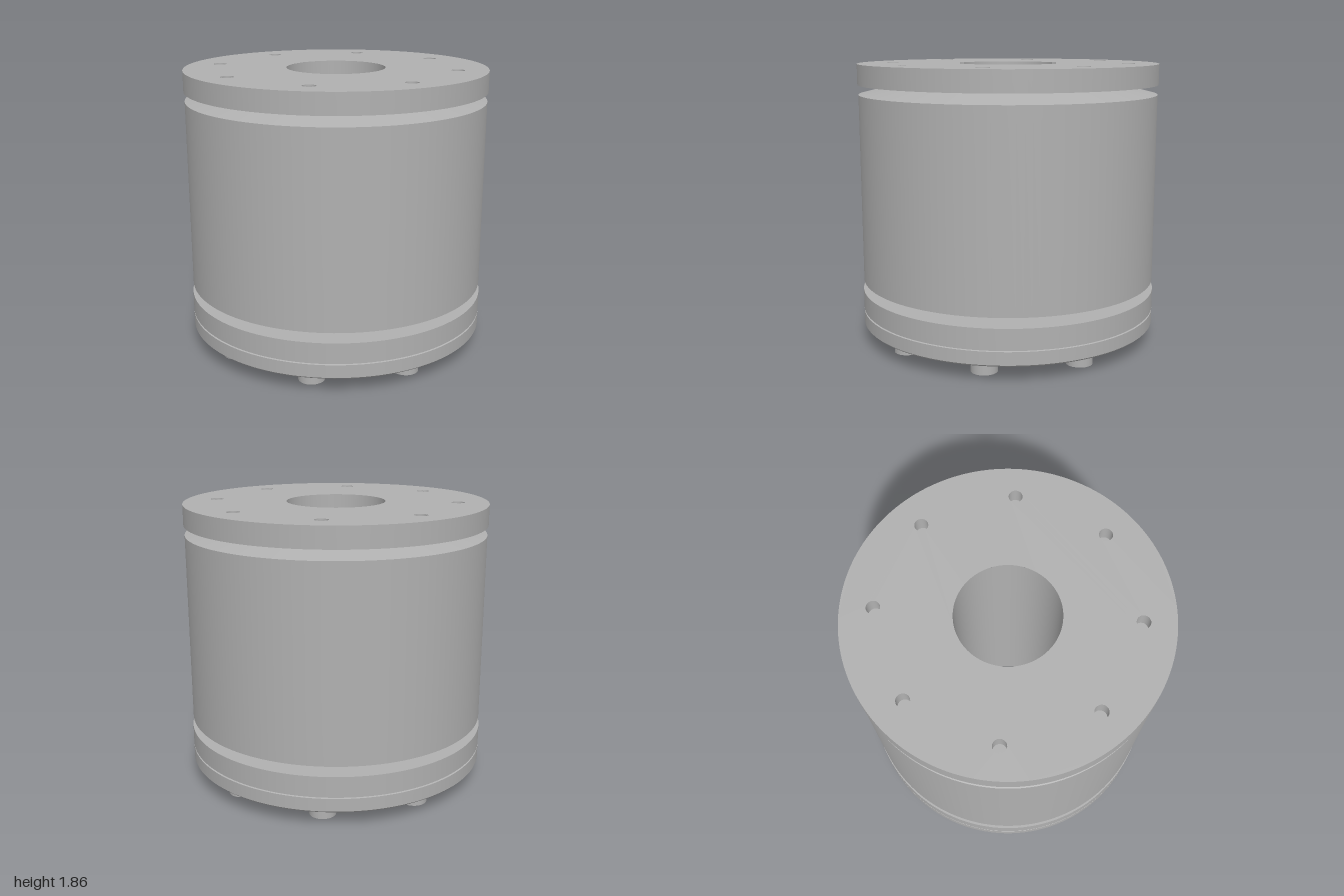
import * as THREE from 'three';
import { mergeGeometries } from 'three/addons/utils/BufferGeometryUtils.js';

const SEG = 128;
const BOLTS = 8;
const BOLT_CIRCLE = 0.8;
const BOLT_TURN = -0.015;
const BORE = 0.326;
const TOP = 1.86;

// Revolved profile with a sharp edge at every point; run it counter-clockwise
// (outside upwards, top inwards, bore downwards).
function turned(points, segments = SEG) {
  const bands = [];
  for (let i = 0; i < points.length - 1; i++) {
    const pair = [points[i], points[i + 1]].map(([r, y]) => new THREE.Vector2(r, y));
    bands.push(new THREE.LatheGeometry(pair, segments));
  }
  return mergeGeometries(bands);
}

export function createModel() {
  const model = new THREE.Group();
  const steel = new THREE.MeshStandardMaterial({ color: 0xb0b0b0 });
  steel.name = 'grey steel';

  const add = (name, geometry, parent = model) => {
    const mesh = new THREE.Mesh(geometry, steel);
    mesh.name = name;
    parent.add(mesh);
    return mesh;
  };

  // Evenly spaced positions on the bolt circle
  const spots = [];
  for (let i = 0; i < BOLTS; i++) {
    const a = BOLT_TURN + (i * Math.PI * 2) / BOLTS;
    spots.push([BOLT_CIRCLE * Math.cos(a), BOLT_CIRCLE * Math.sin(a)]);
  }

  // Main drum with sloping shoulders
  add('drum', turned([[0.73, 0.345], [0.995, 0.41], [0.995, 1.66], [0.73, 1.725]]));

  // Lower flange and cover plate with a fine groove between them
  add('lowerFlange', turned([[0.99, 0.21], [1, 0.212], [1, 0.345], [0.7, 0.345]]));
  add('coverPlate', turned([
    [0.6, 0.105], [0.99, 0.105], [1, 0.115], [1, 0.2], [0.99, 0.203], [0.99, 0.21],
  ]));

  // Raised boss underneath, with a stepped recess around the bore
  add('boss', turned([
    [BORE, 0.1], [0.405, 0.1], [0.405, 0.015], [0.602, 0.015], [0.61, 0.023], [0.61, 0.105],
  ]));

  // Bore through the whole length
  add('bore', turned([[BORE, TOP], [BORE, 0.1]]));

  // Upper flange: rim and underside, then a face pierced for the bore and screw holes
  add('upperFlange', turned([[0.7, 1.725], [1, 1.725], [1, TOP]]));
  const holeRadius = 0.043;
  const face = new THREE.Shape().absarc(0, 0, 1, 0, Math.PI * 2, false);
  face.holes.push(new THREE.Path().absarc(0, 0, BORE, 0, Math.PI * 2, true));
  for (const [x, z] of spots) {
    face.holes.push(new THREE.Path().absarc(x, -z, holeRadius, 0, Math.PI * 2, true));
  }
  add('upperFace', new THREE.ShapeGeometry(face, SEG).rotateX(-Math.PI / 2).translate(0, TOP, 0));

  // Blind screw holes above, bolt heads below
  const holes = new THREE.Group();
  holes.name = 'screwHoles';
  const bolts = new THREE.Group();
  bolts.name = 'bolts';
  model.add(holes, bolts);
  const holeGeometry = turned([[holeRadius, TOP], [holeRadius, 1.75], [0, 1.75]], 32);
  const boltGeometry = turned([[0, 0], [0.086, 0], [0.086, 0.105]], 48);
  for (const [x, z] of spots) {
    add('screwHole', holeGeometry, holes).position.set(x, 0, z);
    add('bolt', boltGeometry, bolts).position.set(x, 0, z);
  }

  return model;
}
